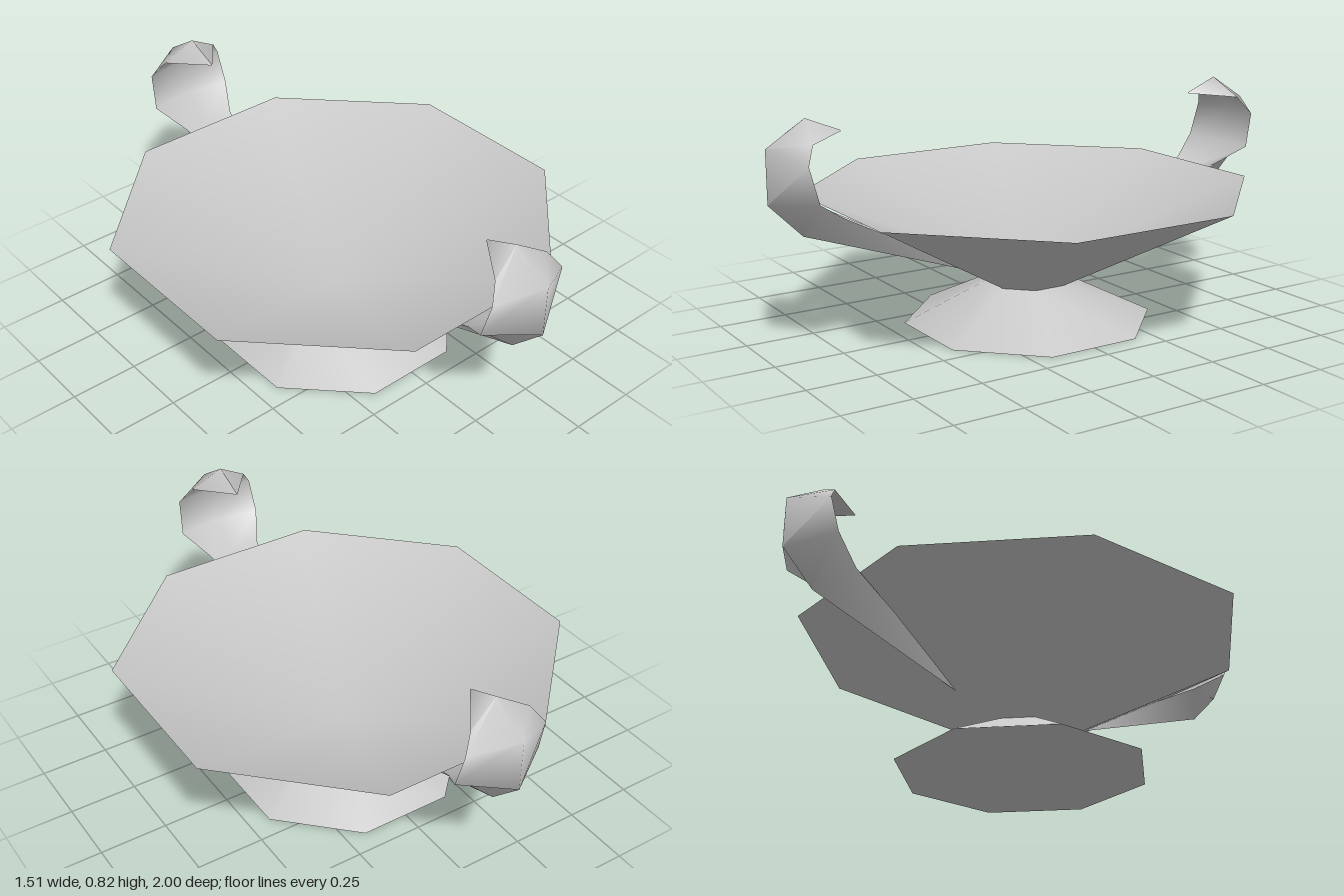
import * as THREE from 'three';
import { mergeVertices, toCreasedNormals } from 'three/addons/utils/BufferGeometryUtils.js';

const stone = new THREE.MeshStandardMaterial({ color: 0xc8c8c8 });
stone.name = 'pale grey';

// Eight-sided turned part with smooth normals; profile is [distance from centre to flat, y]
function octagon(name, profile) {
  const k = 1 / Math.cos(Math.PI / 8);
  const points = profile.map(([r, y]) => new THREE.Vector2(r * k, y));
  const lathe = new THREE.LatheGeometry(points, 8, Math.PI / 8);
  lathe.deleteAttribute('normal');
  lathe.deleteAttribute('uv');
  const geo = mergeVertices(lathe);
  geo.computeVertexNormals();
  const mesh = new THREE.Mesh(geo, stone);
  mesh.name = name;
  return mesh;
}

// Hooked handle: [outer z, outer y, inner z, inner y, half width] per section
function handleGeometry() {
  const rows = [
    [0.28, 0.225, 0.28, 0.24, 0.002],
    [0.88, 0.43, 0.78, 0.50, 0.105],
    [1.0, 0.55, 0.89, 0.57, 0.167],
    [1.0, 0.735, 0.92, 0.695, 0.157],
    [0.86, 0.823, 0.885, 0.755, 0.115],
    [0.735, 0.772, 0.735, 0.768, 0.002],
  ];
  // Section: outer ridge, two inner corners and a shallow valley between them
  const section = [[0, 0], [1, 1], [0, 0.75], [-1, 1]];
  const n = section.length;
  const pos = [];
  const index = [];
  rows.forEach(([oz, oy, iz, iy, w], r) => {
    section.forEach(([x, t], i) => {
      pos.push(x * w, oy + (iy - oy) * t, oz + (iz - oz) * t);
      if (r === 0) return;
      const j = (i + 1) % n;
      const a = (r - 1) * n;
      const b = r * n;
      index.push(a + i, a + j, b + j, a + i, b + j, b + i);
    });
  });
  const geo = new THREE.BufferGeometry();
  geo.setAttribute('position', new THREE.Float32BufferAttribute(pos, 3));
  geo.setIndex(index);
  return toCreasedNormals(geo, 1.4);
}

export function createModel() {
  const model = new THREE.Group();
  model.name = 'pedestalBowl';

  // Foot, flared outer wall and hollow inside
  model.add(octagon('footBase', [[0, 0], [0.423, 0]]));
  model.add(octagon('foot', [[0.423, 0], [0.147, 0.145]]));
  model.add(octagon('bowlOutside', [[0.147, 0.145], [0.757, 0.497]]));
  model.add(octagon('bowlInside', [[0.757, 0.497], [0, 0.163]]));

  // Matching handles at the front and back
  const geo = handleGeometry();
  ['frontHandle', 'backHandle'].forEach((name, i) => {
    const handle = new THREE.Mesh(geo, stone);
    handle.name = name;
    handle.rotation.y = i * Math.PI;
    model.add(handle);
  });
  return model;
}
